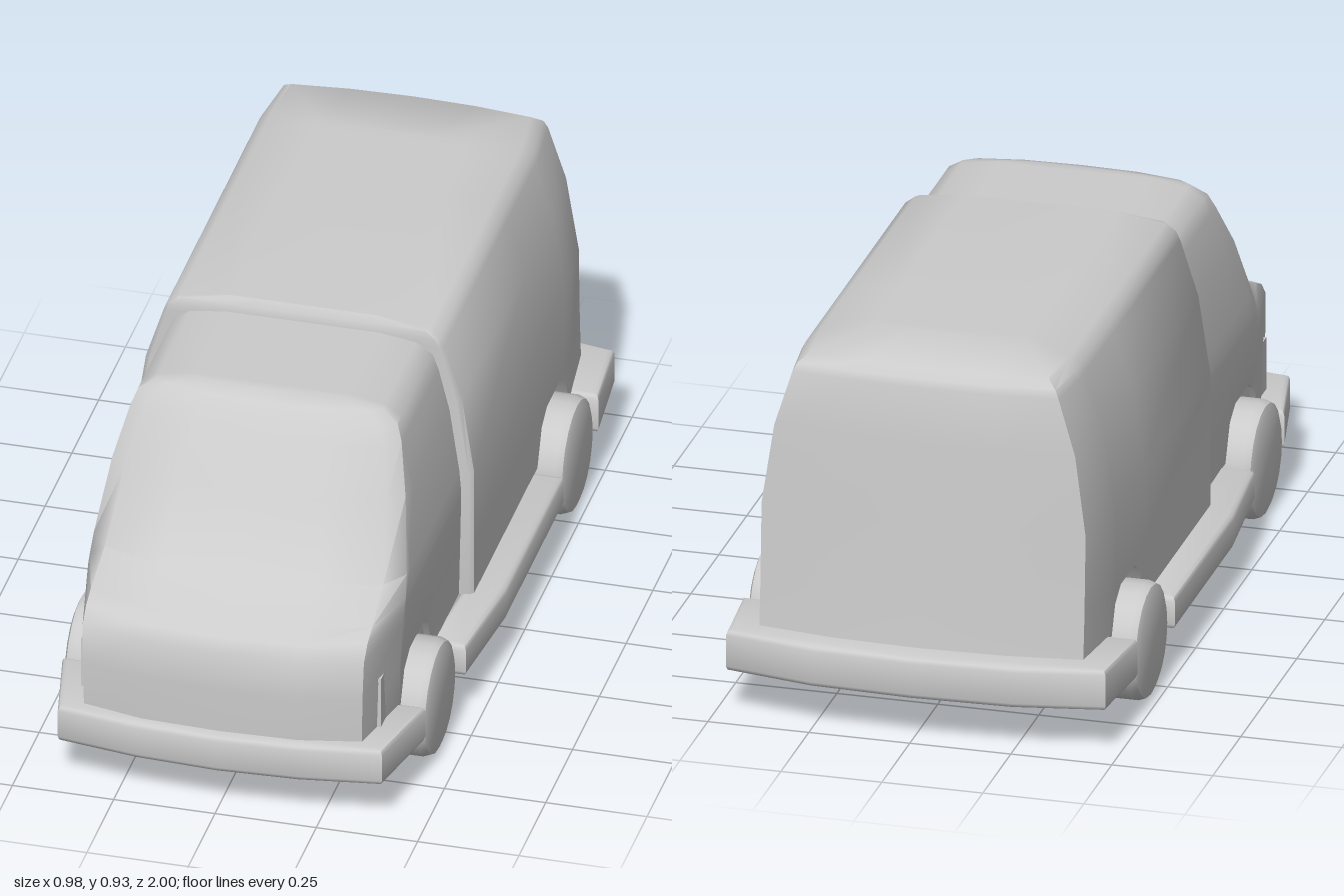
import * as THREE from 'three';
import { toCreasedNormals } from 'three/addons/utils/BufferGeometryUtils.js';

const FLOOR = 0.19;
// wheel arch outline: offset from axle along z, height
const ARCH = [[0.15, FLOOR], [0.11, 0.28], [0.06, 0.31], [-0.06, 0.31], [-0.11, 0.28], [-0.15, FLOOR]];

// Stack of plan outlines from floor to roof.
// row: [y, half width, front z, front bow, front taper length, back z, back bow, back taper length]
// cornerF, cornerB: corner positions as a share of the half width
function hull(name, rows, axleZ, cornerF, cornerB, material) {
  const pos = [], index = [];
  let ring = 0, half = 0;
  rows.forEach(([y, w, zf, bf, tf, zb, bb, tb], j) => {
    const front = zf - bf - tf, back = zb + bb + tb;
    const pts = [[0, y, zf], [0.5 * w, y, zf - 0.2 * bf], [cornerF * w, y, zf - bf], [w, y, front]];
    for (const [dz, ay] of ARCH) {
      const z = Math.max(back, Math.min(front, axleZ + dz));
      pts.push([w, j === 0 ? ay : y, z]);
    }
    pts.push([w, y, back], [cornerB * w, y, zb + bb], [0.5 * w, y, zb + 0.25 * bb], [0, y, zb]);
    half = pts.length;
    for (let i = half - 2; i > 0; i--) pts.push([-pts[i][0], pts[i][1], pts[i][2]]);
    ring = pts.length;
    pts.forEach((p) => pos.push(...p));
  });
  const quad = (a, b, c, d) => index.push(a, b, c, a, c, d);
  // walls
  for (let j = 0; j < rows.length - 1; j++) {
    for (let i = 0; i < ring; i++) {
      const k = (i + 1) % ring, a = j * ring, b = a + ring;
      quad(a + i, a + k, b + k, b + i);
    }
  }
  // floor and roof, as strips across the width
  const top = (rows.length - 1) * ring;
  for (let i = 0; i < half - 1; i++) {
    const l0 = (ring - i) % ring, l1 = ring - i - 1;
    quad(top + i, top + i + 1, top + l1, top + l0);
    quad(i, l0, l1, i + 1);
  }
  const g = new THREE.BufferGeometry();
  g.setAttribute('position', new THREE.Float32BufferAttribute(pos, 3));
  g.setIndex(index);
  const mesh = new THREE.Mesh(toCreasedNormals(g, 0.8), material);
  mesh.name = name;
  return mesh;
}

// Bevelled slab from a plan outline of [x, z] points
function slab(name, outline, y0, y1, material) {
  const b = 0.014;
  const shape = new THREE.Shape(outline.map(([x, z]) => new THREE.Vector2(x, z)));
  const g = new THREE.ExtrudeGeometry(shape, {
    depth: y1 - y0 - 2 * b, bevelThickness: b, bevelSize: b, bevelOffset: -b, bevelSegments: 2,
  });
  g.rotateX(Math.PI / 2).translate(0, y1 - b, 0);
  const mesh = new THREE.Mesh(toCreasedNormals(g, 0.8), material);
  mesh.name = name;
  return mesh;
}

// Adds the -x half of an outline given from the centre outwards
const mirrored = (pts) => [...pts, ...pts.filter((p) => p[0] > 0).reverse().map(([x, z]) => [-x, z])];

export function createModel() {
  const group = new THREE.Group();
  const grey = new THREE.MeshStandardMaterial({ color: 0xcccccc });

  // Cab with a short tapering bonnet and sloping windscreen
  group.add(hull('cab', [
    [FLOOR, 0.385, 0.965, 0.04, 0.19, 0.14, 0, 0],
    [0.33, 0.388, 0.97, 0.04, 0.19, 0.14, 0, 0],
    [0.43, 0.39, 0.968, 0.045, 0.2, 0.14, 0, 0],
    [0.465, 0.39, 0.95, 0.06, 0.18, 0.14, 0, 0],
    [0.485, 0.39, 0.915, 0.07, 0.15, 0.14, 0, 0],
    [0.535, 0.386, 0.785, 0.055, 0.06, 0.14, 0, 0],
    [0.7, 0.362, 0.67, 0.045, 0.035, 0.14, 0, 0],
    [0.81, 0.335, 0.59, 0.035, 0.03, 0.14, 0, 0],
    [0.85, 0.32, 0.56, 0.03, 0.025, 0.14, 0, 0],
    [0.877, 0.28, 0.535, 0.025, 0.02, 0.14, 0, 0],
    [0.89, 0.19, 0.495, 0.01, 0.01, 0.14, 0, 0],
  ], 0.58, 0.89, 1, grey));

  // Taller cargo body with a bowed back
  group.add(hull('cargoBody', [
    [FLOOR, 0.42, 0.18, 0, 0.01, -0.935, 0.035, 0.16],
    [0.33, 0.42, 0.18, 0, 0.01, -0.922, 0.035, 0.16],
    [0.53, 0.42, 0.18, 0, 0.01, -0.907, 0.03, 0.15],
    [0.73, 0.39, 0.18, 0, 0.01, -0.892, 0.025, 0.14],
    [0.87, 0.345, 0.18, 0, 0.01, -0.88, 0.02, 0.14],
    [0.89, 0.335, 0.18, 0, 0.01, -0.873, 0.02, 0.14],
    [0.91, 0.31, 0.176, 0, 0.01, -0.85, 0.02, 0.14],
    [0.928, 0.19, 0.165, 0, 0.005, -0.66, 0.002, 0.02],
  ], -0.57, 0.975, 0.955, grey));

  // Underbody closing the inside of the wheel arches
  const underbody = new THREE.Mesh(new THREE.BoxGeometry(0.74, 0.16, 1.7), grey);
  underbody.name = 'underbody';
  underbody.position.set(0, 0.266, 0);
  group.add(underbody);

  // Bumpers
  group.add(slab('frontBumper', mirrored([
    [0, 0.73], [0.448, 0.73], [0.4, 0.955], [0.2, 0.985], [0, 0.995],
  ]), 0.113, 0.212, grey));
  group.add(slab('rearBumper', mirrored([
    [0, -1], [0.25, -0.99], [0.47, -0.948], [0.489, -0.73], [0, -0.73],
  ]), 0.113, 0.22, grey));

  // Wheels: rounded discs, the rear pair set wider
  const wheelProfile = [[0, -0.055], [0.12, -0.055], [0.138, -0.048], [0.145, -0.03],
    [0.145, 0.03], [0.138, 0.048], [0.12, 0.055], [0, 0.055]].map(([r, h]) => new THREE.Vector2(r, h));
  const wheelGeometry = toCreasedNormals(
    new THREE.LatheGeometry(wheelProfile, 20).rotateZ(Math.PI / 2), 0.8);

  for (const s of [1, -1]) {
    const side = s > 0 ? 'left' : 'right';
    for (const [end, x, z] of [['Front', 0.395, 0.58], ['Rear', 0.43, -0.57]]) {
      const wheel = new THREE.Mesh(wheelGeometry, grey);
      wheel.name = `${side}${end}Wheel`;
      wheel.position.set(s * x, 0.146, z);
      group.add(wheel);
    }
    // Side sill, tapering inwards towards the front
    const sill = [[0.39, -0.4], [0.49, -0.4], [0.49, 0.13], [0.463, 0.41], [0.37, 0.41], [0.39, 0.13]];
    group.add(slab(`${side}Sill`, sill.map(([x, z]) => [s * x, z]), 0.105, 0.192, grey));
  }
  return group;
}
